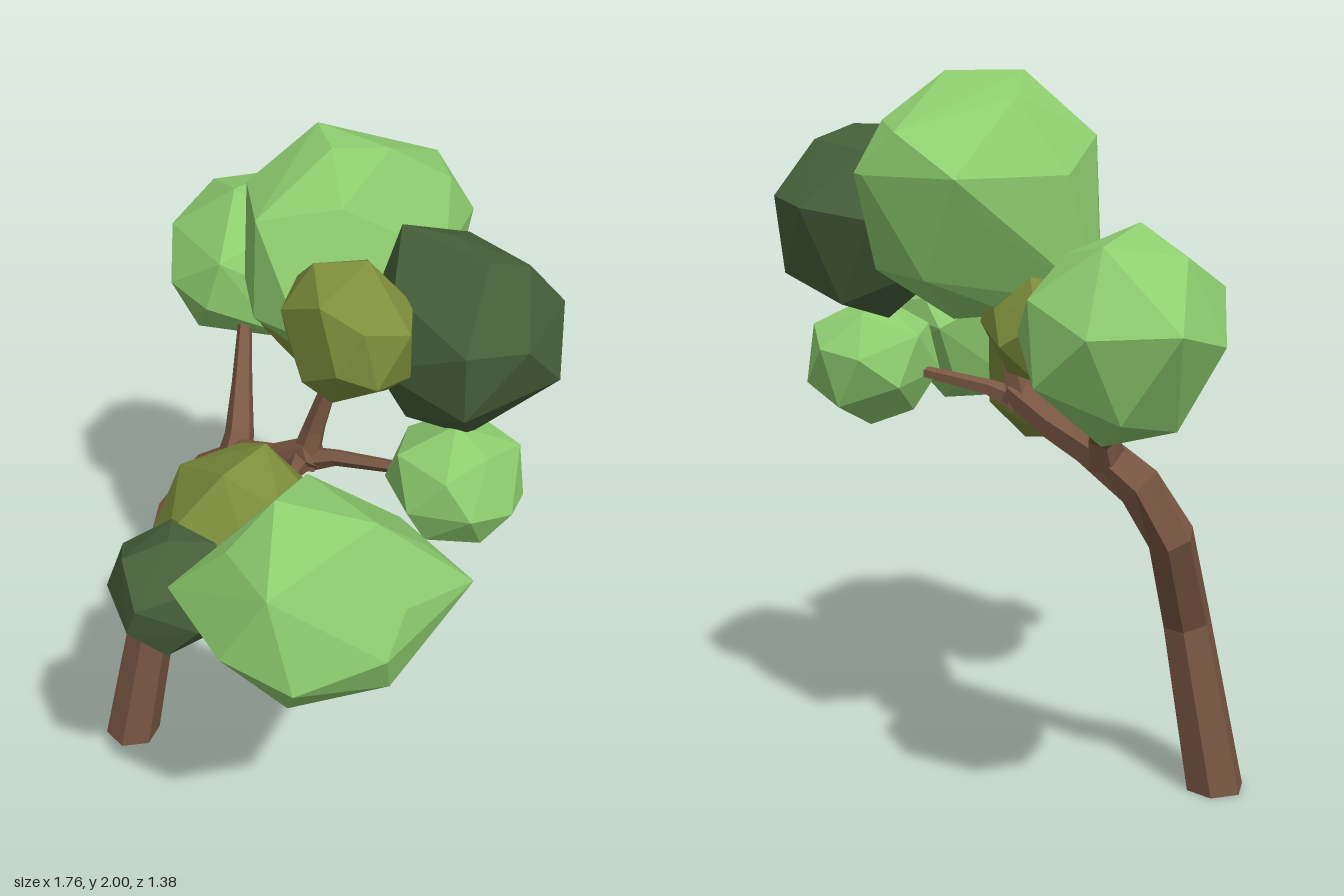
import * as THREE from 'three';
import { ConvexGeometry } from 'three/addons/geometries/ConvexGeometry.js';

const flat = (color) => new THREE.MeshStandardMaterial({ color, flatShading: true });
const V = (p) => new THREE.Vector3(...p);

function seeded(seed) {
  let s = seed * 7919 + 17;
  return () => (s = (s * 16807) % 2147483647) / 2147483647;
}

// Faceted clump: hull of jittered, evenly spread points fitted to a box, plus a few sharp corners
function clumpGeometry(center, half, count, seed, corners = []) {
  const rnd = seeded(seed);
  const turn = new THREE.Euler(rnd() * 6, rnd() * 6, rnd() * 6);
  const pts = [];
  for (let i = 0; i < count; i++) {
    const y = 1 - (2 * i + 1) / count;
    const r = Math.sqrt(1 - y * y), a = i * 2.39996;
    const p = new THREE.Vector3(Math.cos(a) * r, y, Math.sin(a) * r);
    p.add(V([rnd() - 0.5, rnd() - 0.5, rnd() - 0.5]).multiplyScalar(0.3)).normalize();
    pts.push(p.applyEuler(turn));
  }
  const box = new THREE.Box3().setFromPoints(pts);
  const mid = box.getCenter(new THREE.Vector3()), size = box.getSize(new THREE.Vector3());
  for (const p of pts) p.sub(mid).divide(size).multiplyScalar(2).multiply(V(half)).add(V(center));
  return new ConvexGeometry([...pts, ...corners.map(V)]);
}

// Tapered limb: rings of a polygon along a path of [x, y, z, radius]
function limbGeometry(path, sides) {
  const up = new THREE.Vector3(0, 1, 0);
  const pos = [], idx = [];
  const n = path.length;
  path.forEach((k, i) => {
    const a = V(path[Math.max(i - 1, 0)].slice(0, 3)), b = V(path[Math.min(i + 1, n - 1)].slice(0, 3));
    const dir = b.sub(a).normalize();
    if (k[1] === 0) dir.copy(up); // foot stays flat on the ground
    const q = new THREE.Quaternion().setFromUnitVectors(up, dir);
    for (let j = 0; j < sides; j++) {
      const t = (j / sides) * Math.PI * 2;
      const p = new THREE.Vector3(Math.cos(t) * k[3], 0, Math.sin(t) * k[3]).applyQuaternion(q);
      pos.push(p.x + k[0], p.y + k[1], p.z + k[2]);
    }
  });
  for (let i = 0; i < n - 1; i++) {
    for (let j = 0; j < sides; j++) {
      const a = i * sides + j, b = i * sides + ((j + 1) % sides);
      idx.push(a, a + sides, b, b, a + sides, b + sides);
    }
  }
  // end caps
  const last = (n - 1) * sides;
  for (let j = 1; j < sides - 1; j++) {
    idx.push(0, j, j + 1);
    idx.push(last, last + j + 1, last + j);
  }
  const g = new THREE.BufferGeometry();
  g.setAttribute('position', new THREE.Float32BufferAttribute(pos, 3));
  g.setIndex(idx);
  g.computeVertexNormals();
  return g;
}

export function createModel() {
  const tree = new THREE.Group();
  tree.name = 'tree';
  const bark = flat(0x7a5743), light = flat(0x8fcf70), olive = flat(0x7f8f3c), dark = flat(0x46603a);

  const add = (name, geometry, material) => {
    const m = new THREE.Mesh(geometry, material);
    m.name = name;
    tree.add(m);
  };

  // Leaning trunk, then the branches that leave it
  add('trunk', limbGeometry([
    [-0.395, 0, 0.23, 0.085], [-0.335, 0.5, 0.165, 0.07], [-0.39, 0.78, 0.02, 0.066],
    [-0.33, 0.92, -0.04, 0.063], [-0.2, 1.02, -0.09, 0.058], [-0.08, 1.07, -0.11, 0.05],
    [0.04, 1.15, -0.14, 0.045],
  ], 6), bark);
  add('rightBranch', limbGeometry([
    [-0.25, 0.98, -0.08, 0.055], [-0.27, 1.06, -0.12, 0.045], [-0.36, 1.16, -0.2, 0.032], [-0.52, 1.31, -0.34, 0.018],
  ], 5), bark);
  add('topBranch', limbGeometry([
    [0.01, 1.1, -0.13, 0.045], [0.03, 1.22, -0.15, 0.032], [0.1, 1.48, -0.18, 0.016], [0.12, 1.56, -0.22, 0.012],
  ], 5), bark);
  add('frontBranch', limbGeometry([
    [0.0, 1.11, -0.13, 0.04], [0.06, 1.13, -0.05, 0.022], [0.22, 1.13, 0.16, 0.016],
  ], 5), bark);
  add('backBranch', limbGeometry([
    [0.0, 1.11, -0.13, 0.04], [0.1, 1.15, -0.17, 0.024], [0.38, 1.2, -0.28, 0.014],
  ], 5), bark);

  // Leaf clumps: name, material, centre, half size, points, extra corners
  const clumps = [
    ['rightLeaves', light, [-0.61, 1.39, -0.43], [0.24, 0.26, 0.25], 20,
      [[-0.88, 1.43, -0.56], [-0.38, 1.28, -0.33]]],
    ['rightSmallLeaves', olive, [-0.28, 1.38, -0.37], [0.14, 0.14, 0.13], 18],
    ['topLeaves', light, [-0.08, 1.68, -0.34], [0.28, 0.31, 0.33], 20,
      [[0.01, 1.75, -0.69], [-0.3, 1.75, -0.68], [0.13, 1.6, -0.01], [-0.37, 1.43, -0.25],
        [-0.17, 2, -0.31], [0.07, 2, -0.35]]],
    ['topDarkLeaves', dark, [0.38, 1.6, -0.36], [0.25, 0.26, 0.25], 20,
      [[0.49, 1.86, -0.3], [0.2, 1.86, -0.28]]],
    ['topSmallLeaves', olive, [0.28, 1.68, -0.06], [0.18, 0.175, 0.145], 20],
    ['leftLeaves', light, [0.63, 1.26, 0.335], [0.24, 0.28, 0.28], 18,
      [[0.86, 1.3, 0.06], [0.52, 1.25, 0.04], [0.38, 1.25, 0.6], [0.62, 1.2, 0.63],
        [0.6, 1.56, 0.45], [0.78, 1.53, 0.3], [0.885, 1.22, 0.35]]],
    ['frontLeaves', olive, [0.26, 1.17, 0.29], [0.23, 0.26, 0.22], 20,
      [[0, 1.1, 0.17], [0.24, 0.905, 0.4]]],
    ['frontSmallLeaves', dark, [0.29, 1.17, 0.53], [0.15, 0.16, 0.155], 18],
    ['backSmallLeaves', light, [0.44, 1.21, -0.3], [0.18, 0.18, 0.19], 20],
  ];
  clumps.forEach(([name, mat, center, half, count, corners], i) =>
    add(name, clumpGeometry(center, half, count, i + 3, corners), mat));

  return tree;
}
